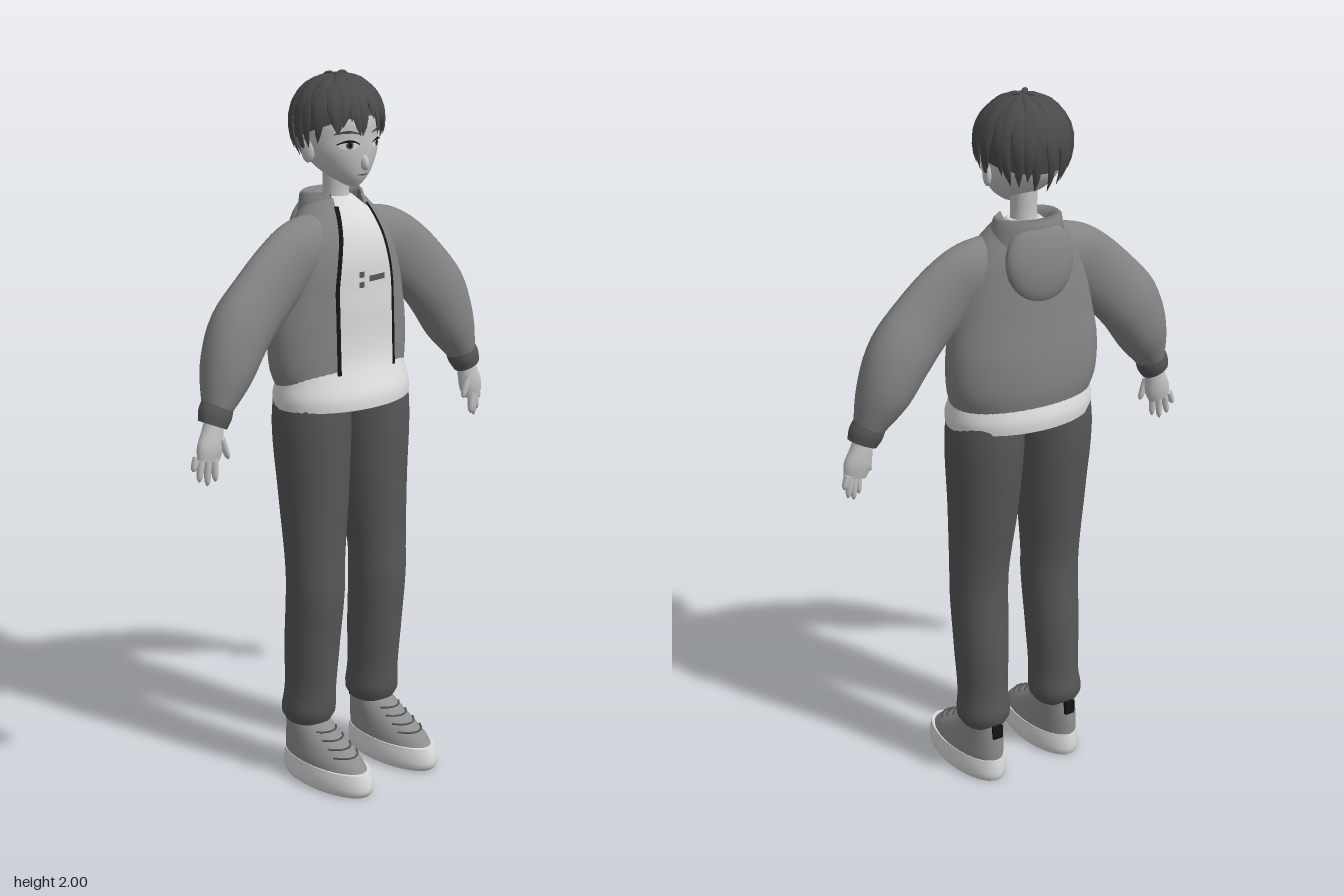
import * as THREE from 'three';

const V = (x, y, z) => new THREE.Vector3(x, y, z);
const range = (n, f) => Array.from({ length: n }, (_, i) => f(i));
const TAU = Math.PI * 2;

// Smooth interpolation through rows [t, a, b, ...]
function profile(rows) {
  const it = new THREE.CubicInterpolant(rows.map(r => r[0]), rows.flatMap(r => r.slice(1)), rows[0].length - 1);
  return t => Array.from(it.evaluate(t));
}

// Surface through a list of rings, optionally closed around and capped at the ends
function skin(rings, closed = true, cap = true) {
  const n = rings[0].length, pos = [], idx = [];
  rings.forEach(r => r.forEach(p => pos.push(p.x, p.y, p.z)));
  for (let j = 0; j < rings.length - 1; j++) {
    for (let i = 0; i < (closed ? n : n - 1); i++) {
      const k = (i + 1) % n, a = j * n + i, b = j * n + k;
      idx.push(a, b, b + n, a, b + n, a + n);
    }
  }
  if (cap) [[rings[0], 1], [rings[rings.length - 1], 0]].forEach(([r, flip]) => {
    const base = pos.length / 3, c = V(0, 0, 0);
    r.forEach(p => { pos.push(p.x, p.y, p.z); c.addScaledVector(p, 1 / n); });
    pos.push(c.x, c.y, c.z);
    for (let i = 0; i < n; i++) {
      const k = base + (i + 1) % n;
      flip ? idx.push(base + n, k, base + i) : idx.push(base + n, base + i, k);
    }
  });
  const g = new THREE.BufferGeometry();
  g.setAttribute('position', new THREE.Float32BufferAttribute(pos, 3));
  g.setIndex(idx);
  g.computeVertexNormals();
  return g;
}

// Upright body from rows [y, centreX, halfWidth, frontZ, backZ]
const oval = (y, [cx, rx, zf, zb], a) => V(cx + rx * Math.sin(a), y, (zf + zb) / 2 + (zf - zb) / 2 * Math.cos(a));
function loft(rows, steps = 24, seg = 32, cap = true) {
  const p = profile(rows), y0 = rows[0][0], y1 = rows[rows.length - 1][0];
  return skin(range(steps + 1, j => {
    const y = y0 + (y1 - y0) * j / steps, q = p(y);
    return range(seg, i => oval(y, q, i / seg * TAU));
  }), true, cap);
}

// Rounded limb along points [x, y, z, halfWidth, halfDepth]
function limb(pts, steps = 20, seg = 16) {
  const p = profile(pts.map((q, i) => [i, ...q])), m = pts.length - 1, N = V(0, 0, 1);
  return skin(range(steps + 1, j => {
    const t = m * j / steps, [x, y, z, w, d] = p(t);
    const a = p(Math.max(0, t - 0.05)), b = p(Math.min(m, t + 0.05));
    const B = V(b[0] - a[0], b[1] - a[1], 0).normalize().cross(N);
    return range(seg, i => V(x, y, z).addScaledVector(N, d * Math.cos(i / seg * TAU)).addScaledVector(B, w * Math.sin(i / seg * TAU)));
  }));
}

// Thin plate laid on the front of an upright body; map takes u, v in -1..1 to x, y
function patch(rows, map, off, nu = 8, nv = 2) {
  const p = profile(rows), g = new THREE.PlaneGeometry(2, 2, nu, nv), P = g.attributes.position;
  for (let i = 0; i < P.count; i++) {
    const [x, y] = map(P.getX(i), P.getY(i)), [cx, rx, zf, zb] = p(y);
    P.setXYZ(i, x, y, (zf + zb) / 2 + (zf - zb) / 2 * Math.sqrt(Math.max(0, 1 - ((x - cx) / rx) ** 2)) + off);
  }
  g.computeVertexNormals();
  return g;
}

function mirrored(g) {
  const m = g.clone().scale(-1, 1, 1), a = m.index.array;
  for (let i = 0; i < a.length; i += 3) [a[i], a[i + 1]] = [a[i + 1], a[i]];
  return m;
}

// Point on the hair shell: azimuth a (0 = front), polar angle from the crown
const hairCentre = V(0, 1.865, -0.065);
function hairPoint(a, phi, k = 1) {
  const low = phi > Math.PI / 2, s = Math.pow(Math.sin(phi), low ? 0.6 : 1);
  const y = low ? -(phi - Math.PI / 2) : Math.cos(phi);
  return V(0.128 * k * s * Math.sin(a), 0.122 * k * y, 0.124 * k * s * Math.cos(a)).add(hairCentre);
}
function hairLock(a, phi0, phi1, w, k, bend) {
  return skin(range(9, j => {
    const t = j / 8, az = a + bend * t * t, c = hairPoint(az, phi0 + (phi1 - phi0) * t, k);
    const n = c.clone().sub(hairCentre).normalize(), side = V(-Math.cos(az), 0, Math.sin(az));
    const f = Math.max(0.02, Math.min(1, 0.25 + 1.8 * t) * Math.pow(1 - t, 0.55));
    return range(8, i => c.clone().addScaledVector(n, 0.011 * f * Math.cos(i / 8 * TAU)).addScaledVector(side, w * f * Math.sin(i / 8 * TAU)));
  }));
}

export function createModel() {
  const root = new THREE.Group();
  root.name = 'standingFigure';
  const mat = (name, color, side = THREE.FrontSide) => Object.assign(new THREE.MeshStandardMaterial({ color, side }), { name });
  const skinTone = mat('skin', 0xc6c6c6), white = mat('shirt white', 0xdcdcdc), jacketGrey = mat('jacket grey', 0x848484, THREE.DoubleSide);
  const pantsGrey = mat('trouser grey', 0x575757), hairGrey = mat('hair grey', 0x4a4a4a, THREE.DoubleSide);
  const shoeGrey = mat('shoe grey', 0x8e8e8e), black = mat('black', 0x141414, THREE.DoubleSide);
  const add = (name, g, m) => {
    const mesh = new THREE.Mesh(g, m);
    mesh.name = name;
    root.add(mesh);
  };
  const pair = (name, g, m) => { add(name + 'Left', g, m); add(name + 'Right', mirrored(g), m); };

  // Head, neck and ears
  const head = [[1.698, 0, 0.016, 0.016, -0.025], [1.72, 0, 0.05, 0.03, -0.07], [1.75, 0, 0.08, 0.039, -0.12], [1.79, 0, 0.103, 0.045, -0.155],
    [1.83, 0, 0.11, 0.046, -0.168], [1.88, 0, 0.109, 0.044, -0.17], [1.93, 0, 0.088, 0.02, -0.15], [1.97, 0, 0.035, -0.035, -0.1]];
  add('head', loft(head, 28), skinTone);
  add('neck', loft([[1.6, 0, 0.048, -0.025, -0.125], [1.66, 0, 0.037, -0.035, -0.108], [1.76, 0, 0.037, -0.03, -0.108]], 8), skinTone);
  pair('ear', new THREE.SphereGeometry(1, 14, 10).scale(0.011, 0.032, 0.02).rotateY(-0.3).translate(0.108, 1.795, -0.062), skinTone);
  add('nose', new THREE.SphereGeometry(1, 12, 10).scale(0.011, 0.022, 0.015).rotateX(-0.3).translate(0, 1.764, 0.042), skinTone);

  // Eyes, brows and mouth
  const lens = (cx, cy, w, h) => (u, v) => [cx + u * w, cy + v * h * Math.sqrt(1 - u * u * 0.98)];
  const arch = (cx, cy, w, h, rise) => (u, v) => [cx + u * w, cy + rise * (1 - u * u) + v * h * (1 - 0.6 * Math.abs(u))];
  pair('eyeWhite', patch(head, lens(0.05, 1.812, 0.024, 0.011), 0.002), white);
  pair('iris', patch(head, lens(0.049, 1.813, 0.0095, 0.0105), 0.0035), pantsGrey);
  pair('pupil', patch(head, lens(0.049, 1.813, 0.005, 0.007), 0.0045), black);
  pair('upperLash', patch(head, arch(0.051, 1.815, 0.028, 0.0035, 0.009), 0.005), black);
  pair('brow', patch(head, arch(0.053, 1.842, 0.03, 0.004, 0.006), 0.003), hairGrey);
  add('mouth', patch(head, arch(0, 1.732, 0.018, 0.0025, -0.002), 0.003), pantsGrey);

  // Hair: shell, layered locks and small tufts
  const hemAngle = a => 1.72 - 0.35 * Math.cos(a) + 0.06 * Math.sin(a) ** 2;
  add('hairShell', skin(range(17, j => range(40, i => {
    const a = -i / 40 * TAU;
    return hairPoint(a, 0.02 + (hemAngle(a) - 0.02) * j / 16, 0.97);
  })), true, false), hairGrey);
  let seed = 7;
  const rnd = () => (seed = (seed * 16807) % 2147483647) / 2147483647;
  [[18, 0.35, 0.34, 0.027, 1.0], [17, 0.2, 0.1, 0.03, 1.015], [11, 0.08, -0.35, 0.03, 1.025]].forEach(([n, start, extra, w, k], layer) => {
    for (let i = 0; i < n; i++) {
      const a = (i + 0.5 * layer) / n * TAU + (rnd() - 0.5) * 0.12;
      add('hairLock', hairLock(a, start, hemAngle(a) + extra + (rnd() - 0.3) * 0.16, w, k, (rnd() - 0.5) * 0.4), hairGrey);
    }
  });
  [[-0.045, 1.997, -0.02], [0.035, 1.998, -0.06], [-0.02, 1.996, -0.1]].forEach(([x, y, z]) =>
    add('hairTuft', limb([[0, 1.975, -0.065, 0.012, 0.014], [x * 0.5, y - 0.004, (z - 0.065) / 2, 0.006, 0.012], [x, y - 0.01, z, 0.001, 0.001]], 8, 8), hairGrey));

  // Shirt with flared hem
  const shirt = [[1.1, 0, 0.218, 0.098, -0.193], [1.13, 0, 0.222, 0.097, -0.195], [1.17, 0, 0.214, 0.08, -0.182], [1.22, 0, 0.214, 0.06, -0.176],
    [1.4, 0, 0.2, 0.054, -0.168], [1.52, 0, 0.175, 0.05, -0.158], [1.6, 0, 0.125, 0.024, -0.145], [1.665, 0, 0.045, -0.025, -0.118]];
  add('shirt', loft(shirt, 30, 48), white);
  [[-0.022, 1.464, 0.009], [-0.022, 1.436, 0.009], [0.036, 1.45, 0.031]].forEach(([x, y, w]) =>
    add('shirtPrint', patch(shirt, (u, v) => [x + u * w, y + v * 0.008], 0.004), pantsGrey));

  // Open jacket; the edge of the opening narrows towards the collar
  const jacket = [[1.16, 0, 0.212, 0.068, -0.183], [1.2, 0, 0.226, 0.064, -0.19], [1.3, 0, 0.231, 0.06, -0.19], [1.4, 0, 0.215, 0.058, -0.18],
    [1.5, 0, 0.192, 0.054, -0.17], [1.57, 0, 0.163, 0.04, -0.162], [1.62, 0, 0.127, 0.016, -0.15], [1.665, 0, 0.085, -0.015, -0.14]];
  const edge = y => y < 1.42 ? 0.102 : 0.102 - 0.052 * ((y - 1.42) / 0.245) ** 1.4;
  const jp = profile(jacket);
  add('jacketBody', skin(range(27, j => {
    const y = 1.16 + 0.505 * j / 26, q = jp(y), a0 = Math.asin(edge(y) / q[1]);
    return range(49, i => oval(y, q, a0 + (TAU - 2 * a0) * i / 48));
  }), false, false), jacketGrey);
  pair('zip', patch(jacket, (u, v) => {
    const y = 1.42 + 0.225 * v;
    return [edge(y) + u * 0.006, y];
  }, 0.004, 1, 24), black);

  // Hood: standing collar and the part hanging down the back
  const collar = [[1.6, 0.118, 0, -0.16], [1.645, 0.104, -0.012, -0.16], [1.672, 0.098, -0.02, -0.158], [1.68, 0.088, -0.026, -0.15], [1.66, 0.074, -0.03, -0.138], [1.62, 0.066, -0.03, -0.13]];
  add('hoodCollar', skin(collar.map(([y, rx, zf, zb]) => range(33, i => oval(y, [0, rx, zf, zb], 0.62 + (TAU - 1.24) * i / 32))), false, false), jacketGrey);
  add('hood', new THREE.SphereGeometry(1, 28, 20).scale(0.104, 0.112, 0.04).rotateX(0.12).translate(0, 1.562, -0.146), jacketGrey);

  // Sleeves, cuffs and hands
  pair('sleeve', limb([[0.08, 1.565, -0.055, 0.07, 0.06], [0.15, 1.53, -0.05, 0.092, 0.066], [0.22, 1.487, -0.045, 0.097, 0.06], [0.3, 1.42, -0.043, 0.096, 0.062],
    [0.37, 1.343, -0.045, 0.094, 0.073], [0.42, 1.245, -0.042, 0.076, 0.07], [0.458, 1.165, -0.034, 0.046, 0.045], [0.464, 1.15, -0.034, 0.036, 0.036]], 32, 24), jacketGrey);
  pair('cuff', limb([[0.459, 1.163, -0.033, 0.046, 0.042], [0.47, 1.14, -0.031, 0.048, 0.043], [0.481, 1.115, -0.029, 0.042, 0.037]], 6, 20), pantsGrey);
  pair('palm', limb([[0.473, 1.135, -0.028, 0.026, 0.024], [0.483, 1.095, -0.027, 0.032, 0.026], [0.494, 1.055, -0.025, 0.04, 0.025], [0.503, 1.022, -0.024, 0.034, 0.018]], 10), skinTone);
  const digits = [[0.53, 1.035, 0.543, 0.998, -0.036], [0.518, 1.03, 0.529, 0.968, -0.03], [0.503, 1.028, 0.508, 0.955, -0.022], [0.488, 1.03, 0.487, 0.965, -0.014], [0.468, 1.08, 0.446, 1.02, -0.008]];
  digits.forEach(([x0, y0, x1, y1, z]) => pair('finger', limb([[x0, y0, z, 0.01, 0.011], [(x0 + x1) / 2, (y0 + y1) / 2, z, 0.0095, 0.01],
    [x1 * 0.85 + x0 * 0.15, y1 * 0.85 + y0 * 0.15, z, 0.007, 0.008], [x1, y1, z, 0.002, 0.002]], 8, 8), skinTone));

  // Trousers
  pair('trouserLeg', loft([[0.165, 0.125, 0.06, 0.008, -0.12], [0.18, 0.125, 0.073, 0.018, -0.13], [0.21, 0.124, 0.077, 0.024, -0.134], [0.25, 0.123, 0.072, 0.026, -0.128],
    [0.4, 0.122, 0.077, 0.04, -0.124], [0.58, 0.12, 0.083, 0.056, -0.113], [0.63, 0.12, 0.084, 0.054, -0.113], [0.85, 0.113, 0.099, 0.058, -0.142],
    [1.05, 0.112, 0.109, 0.063, -0.162], [1.14, 0.109, 0.105, 0.06, -0.16]], 40, 28), pantsGrey);

  // Shoes: sole, upper, laces and heel tab
  pair('sole', loft([[0, 0.128, 0.07, 0.188, -0.134], [0.01, 0.128, 0.076, 0.197, -0.139], [0.04, 0.128, 0.077, 0.198, -0.14], [0.068, 0.128, 0.072, 0.19, -0.137]], 8, 36), white);
  const upper = [[0.06, 0.128, 0.07, 0.182, -0.133], [0.085, 0.128, 0.068, 0.158, -0.134], [0.11, 0.127, 0.063, 0.118, -0.134], [0.14, 0.126, 0.057, 0.062, -0.132], [0.175, 0.125, 0.05, 0.004, -0.128]];
  pair('shoeUpper', loft(upper, 12, 36), shoeGrey);
  const up = profile(upper);
  [0.1, 0.117, 0.134, 0.151].forEach(y => pair('lace', new THREE.TubeGeometry(new THREE.CatmullRomCurve3(range(7, i => oval(y + 0.003, up(y), (i - 3) * 0.25))), 12, 0.003, 6), pantsGrey));
  pair('heelTab', new THREE.BoxGeometry(0.03, 0.04, 0.012).translate(0.125, 0.16, -0.131), black);

  return root;
}
